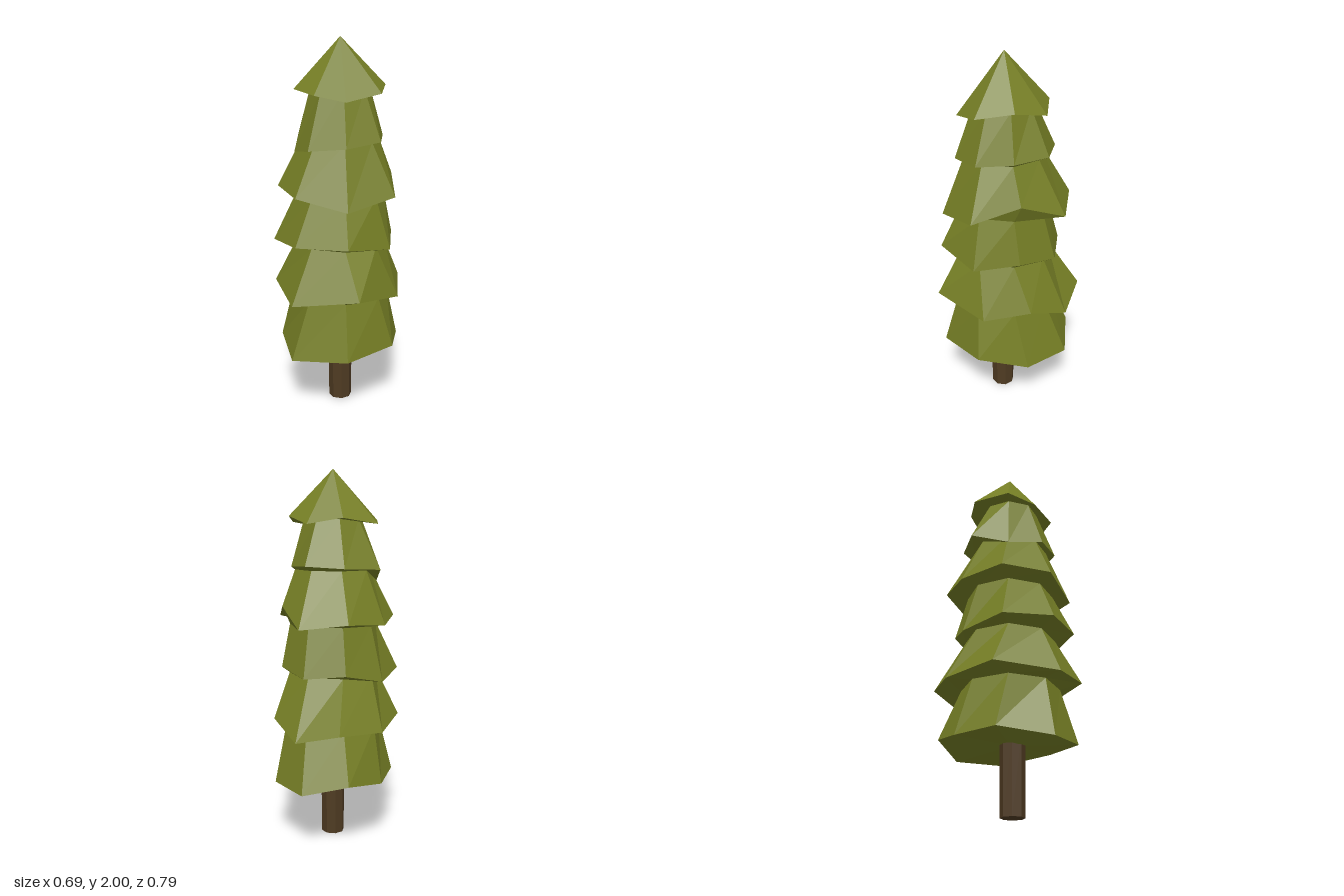
import * as THREE from 'three';

const SIDES = 8;
const AXIS = { x: 0.01, z: 0.02 };

// Eight-cornered ring around the tree axis; radius(i, a) and height(i, a) give each corner.
// swing (degrees) bunches the corners towards one side, strongest at the phase angle.
function ring(radius, height, swing = 0, phase = 0) {
  return Array.from({ length: SIDES }, (_, i) => {
    const even = (i / SIDES) * Math.PI * 2;
    const shift = swing * Math.cos(even - THREE.MathUtils.degToRad(phase));
    const a = even + THREE.MathUtils.degToRad(shift);
    return [AXIS.x + radius(i) * Math.cos(a), height(i), AXIS.z + radius(i) * Math.sin(a)];
  });
}

const evenRing = (radius, y) => ring(() => radius, () => y);

// Joins consecutive rings, listed from top to bottom, with flat faces
function loft(rings) {
  const pos = [];
  for (let r = 0; r < rings.length - 1; r++) {
    const up = rings[r], low = rings[r + 1];
    for (let i = 0; i < SIDES; i++) {
      const j = (i + 1) % SIDES;
      pos.push(...up[i], ...up[j], ...low[j], ...up[i], ...low[j], ...low[i]);
    }
  }
  const geo = new THREE.BufferGeometry();
  geo.setAttribute('position', new THREE.Float32BufferAttribute(pos, 3));
  geo.computeVertexNormals();
  return geo;
}

export function createModel() {
  const green = new THREE.MeshStandardMaterial({ color: 0x757e25, flatShading: true });
  green.name = 'needle green';
  const brown = new THREE.MeshStandardMaterial({ color: 0x4f3b22, flatShading: true });
  brown.name = 'bark brown';

  const tree = new THREE.Group();
  tree.name = 'pineTree';

  // A tier flares from its upper ring to an uneven rim, then turns under to the next ring.
  // Rim radii and drops (hundredths below rimY) run from +x round through +z.
  function addTier(name, top, under, rimY, radii, drops, swing, phase) {
    const rim = ring((i) => radii[i], (i) => rimY - drops[i] / 100, swing, phase);
    const mesh = new THREE.Mesh(loft([top, rim, under]), green);
    mesh.name = name;
    tree.add(mesh);
  }

  // Rings shared by neighbouring tiers, from the tip down to the closed underside
  const tip = evenRing(0, 2);
  const neck1 = evenRing(0.155, 1.745);
  const neck2 = evenRing(0.205, 1.485);
  const neck3 = evenRing(0.235, 1.2);
  const neck4 = evenRing(0.24, 0.935);
  const neck5 = evenRing(0.26, 0.655);
  const base = evenRing(0, 0.36);

  // Foliage
  addTier('treeTop', tip, neck1, 1.76,
    [0.235, 0.26, 0.24, 0.21, 0.24, 0.27, 0.23, 0.245], [0, 3, 6.5, 4, 2, 4, 1, 4]);
  addTier('upperTier', neck1, neck2, 1.51,
    [0.225, 0.26, 0.255, 0.26, 0.24, 0.287, 0.267, 0.262], [1, 2, 4, 6, 9, 2, 1, 0]);
  addTier('upperMiddleTier', neck2, neck3, 1.295,
    [0.28, 0.34, 0.33, 0.337, 0.33, 0.33, 0.355, 0.355], [0, 8, 13, 7.5, 6, 8.5, 6.5, 9.5], -5);
  addTier('lowerMiddleTier', neck3, neck4, 0.975,
    [0.285, 0.318, 0.345, 0.347, 0.357, 0.316, 0.3, 0.305], [0.5, 4, 0, 1, 3.5, 6.5, 1.5, 3.5], -4);
  addTier('lowerTier', neck4, neck5, 0.71,
    [0.344, 0.34, 0.383, 0.382, 0.358, 0.37, 0.415, 0.384], [1, 5.5, 0, 5.5, 2, 5, 3, 9], -14, 35);
  addTier('bottomTier', neck5, base, 0.395,
    [0.34, 0.332, 0.345, 0.36, 0.327, 0.334, 0.37, 0.378], [5.5, 1.5, 3.5, 6.5, 2.5, 3.5, 0, 5.5], -10);

  // Trunk
  const trunk = new THREE.Mesh(new THREE.CylinderGeometry(0.066, 0.063, 0.4, SIDES), brown);
  trunk.name = 'trunk';
  trunk.position.set(0.01, 0.2, 0.03);
  tree.add(trunk);

  return tree;
}
